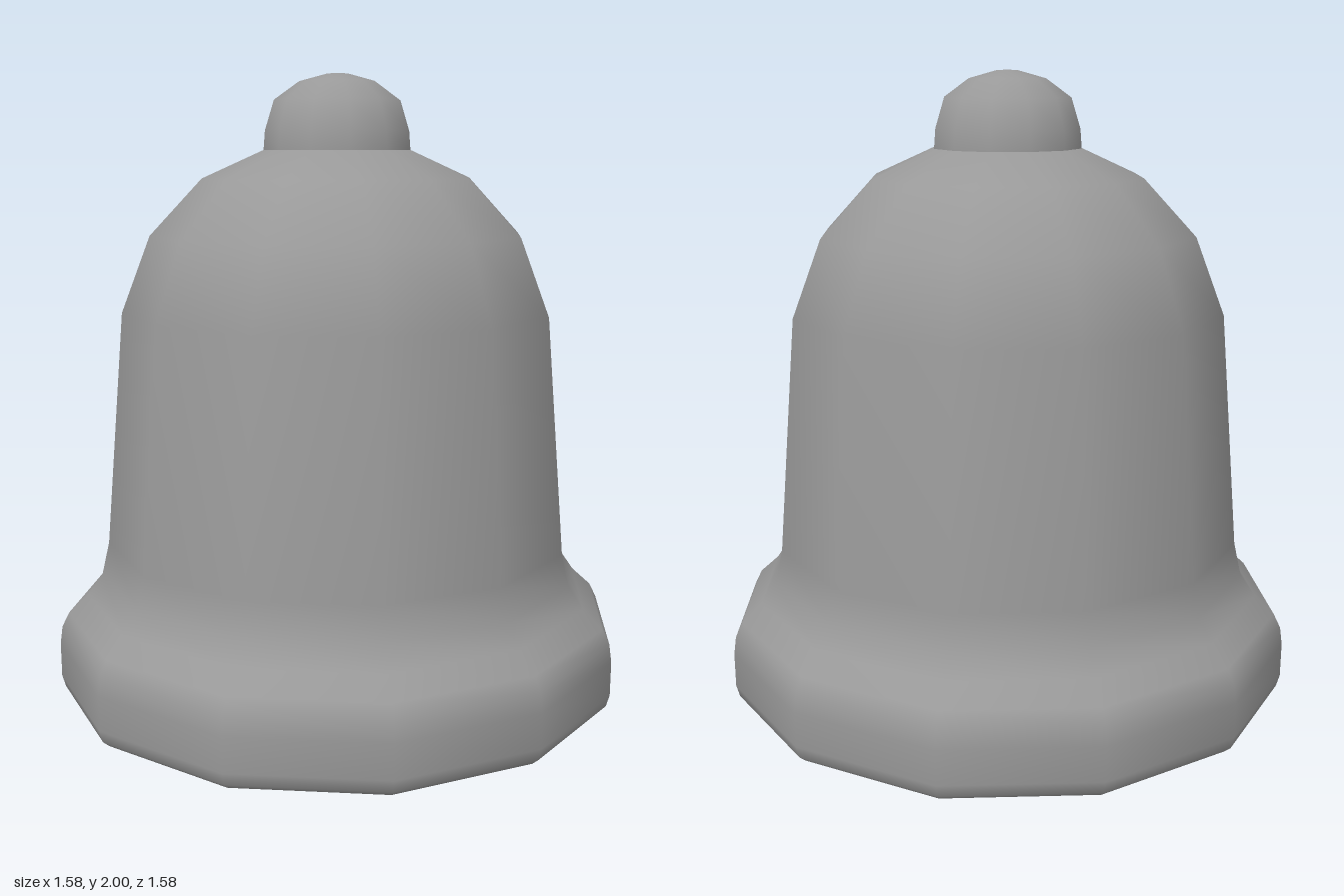
import * as THREE from 'three';

const SIDES = 12;

export function createModel() {
  const group = new THREE.Group();
  group.name = 'bell';
  const material = new THREE.MeshStandardMaterial({ color: 0x999999 });

  // Revolves a [radius, height] profile around the vertical axis
  const addLathe = (name, profile) => {
    const points = profile.map(([r, y]) => new THREE.Vector2(r, y));
    const mesh = new THREE.Mesh(new THREE.LatheGeometry(points, SIDES), material);
    mesh.name = name;
    group.add(mesh);
  };

  // Outer wall, from the underside of the flared lip up to the crown
  addLathe('outerWall', [
    [0.69, 0.296], [0.765, 0.296], [0.783, 0.312], [0.792, 0.345], [0.792, 0.44],
    [0.785, 0.49], [0.765, 0.53], [0.71, 0.58], [0.668, 0.64], [0.647, 0.73],
    [0.59, 1.37], [0.51, 1.575], [0.368, 1.725], [0.2, 1.8], [0, 1.84],
  ]);

  // Hollow inside, a tapering dome that opens down to the rim
  addLathe('innerWall', [
    [0, 1.3], [0.02, 1.3], [0.2, 1.2], [0.4, 0.95], [0.56, 0.65], [0.69, 0.296],
  ]);

  // Knob on the crown
  addLathe('topKnob', [
    [0.2, 1.78], [0.201, 1.8], [0.197, 1.85], [0.172, 1.93],
    [0.104, 1.978], [0.03, 1.998], [0, 2],
  ]);

  // Round clapper hanging in the mouth
  const clapper = new THREE.Mesh(new THREE.SphereGeometry(0.3, SIDES, 6), material);
  clapper.name = 'clapper';
  clapper.position.y = 0.3;
  group.add(clapper);

  return group;
}
